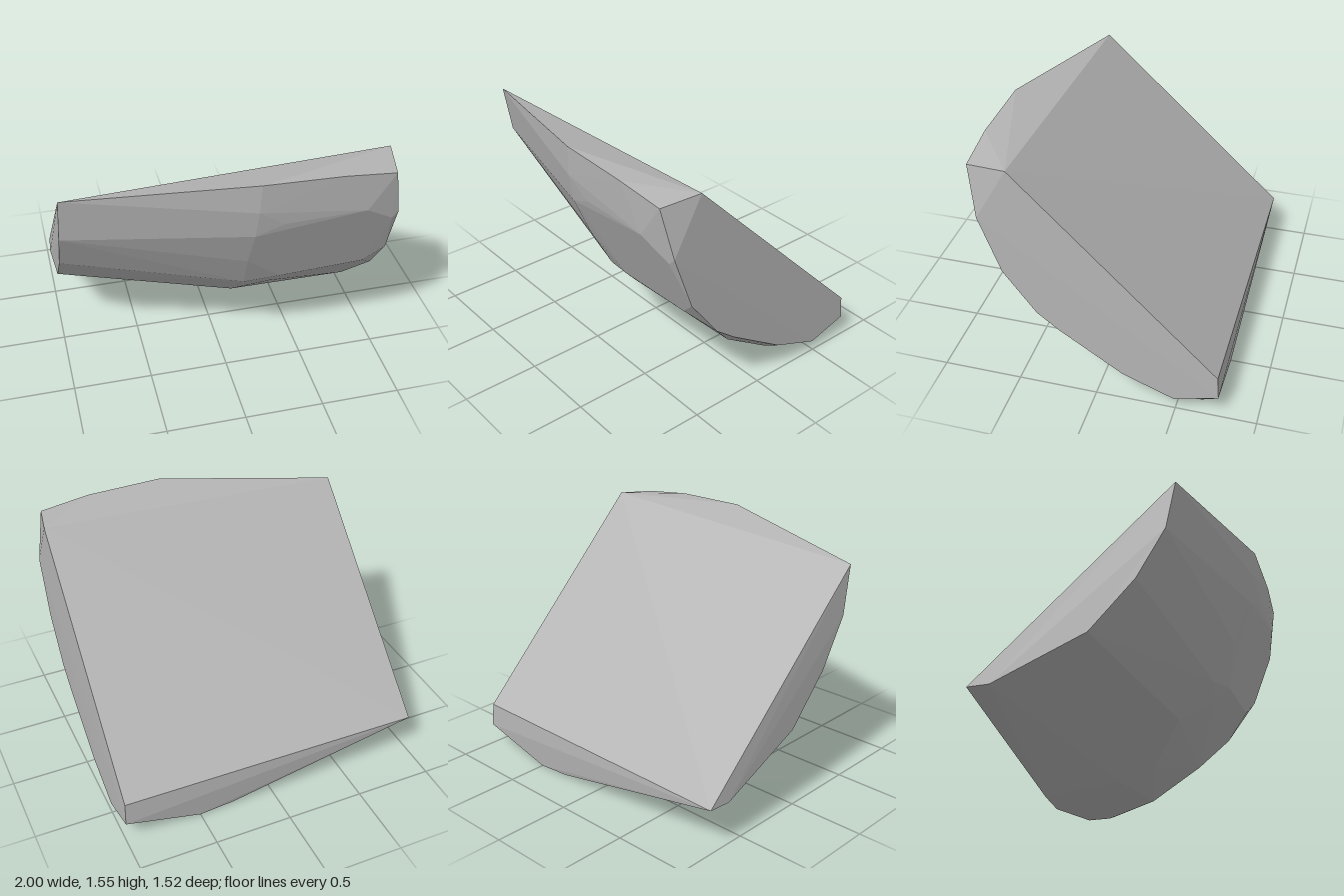
import * as THREE from 'three';
import { ConvexGeometry } from 'three/addons/geometries/ConvexGeometry.js';

// A faceted chunk: cross-sections along x, wrapped by a convex skin.
const sections = {
  narrowEnd: [
    [-0.99, 1.44, 0.49], [-1, 1.13, 0.43], [-1, 0.825, 0.25], [-1, 0.525, -0.03],
    [-1, 0.275, -0.61], [-0.99, 0.278, -0.755],
  ],
  middleRib: [
    [0.13, 1.55, 0.757], [0.12, 1.36, 0.752], [0.11, 1.17, 0.715], [0.1, 0.9, 0.595],
    [0.12, 0.63, 0.455], [0.1, 0.39, 0.22], [0.27, 0.015, -0.74],
  ],
  bulge: [
    [0.62, 1.54, 0.76], [0.28, 1.25, 0.738], [0.78, 1.27, 0.747], [0.34, 0.68, 0.507],
    [0.3, 0.57, 0.408], [0.39, 0.2, -0.02], [0.35, 0.1, -0.25], [0.5, 0, -0.745],
  ],
  bevel: [
    [0.94, 1.505, 0.745], [0.96, 1.15, 0.695], [0.88, 0.71, 0.515], [0.89, 0.34, 0.165],
    [0.88, 0.12, -0.17], [0.92, 0.035, -0.5], [0.92, 0.034, -0.655],
  ],
  wideEnd: [
    [0.99, 1.53, 0.495], [1, 1.19, 0.69], [1, 0.83, 0.56], [1, 0.56, 0.36],
    [1, 0.45, 0.22], [1, 0.195, -0.17], [1, 0.07, -0.49], [0.995, 0.14, -0.76],
    [0.99, 0.29, -0.75],
  ],
};

export function createModel() {
  const group = new THREE.Group();
  group.name = 'rockChunk';

  const stone = new THREE.MeshStandardMaterial({ color: 0xb4b4b4 });
  stone.name = 'stone grey';

  const points = Object.values(sections).flat().map((p) => new THREE.Vector3(...p));
  const chunk = new THREE.Mesh(new ConvexGeometry(points), stone);
  chunk.name = 'facetedStone';
  group.add(chunk);

  return group;
}
